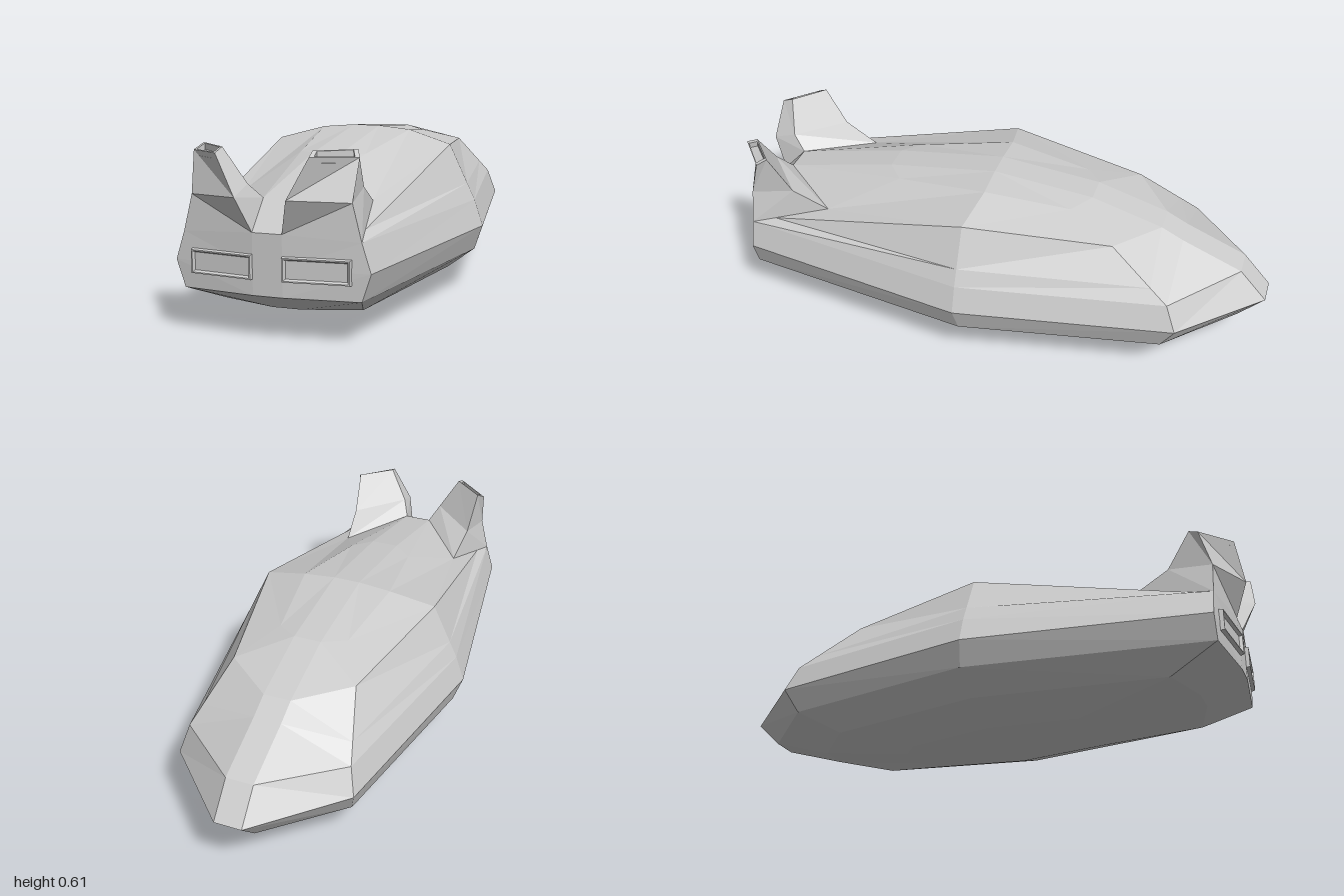
import * as THREE from 'three';

const material = new THREE.MeshStandardMaterial({ color: 0xcccccc, flatShading: true });

// Skins a stack of closed loops (counter-clockwise seen from the stacking direction).
// Diagonals flip on the -x side so both halves match.
function loft(name, rings) {
  const pos = [];
  const tri = (...pts) => pts.forEach((p) => pos.push(...p));
  for (let r = 0; r < rings.length - 1; r++) {
    const lo = rings[r], hi = rings[r + 1], n = lo.length;
    for (let i = 0; i < n; i++) {
      const j = (i + 1) % n;
      if (lo[i][0] + lo[j][0] >= 0) {
        tri(lo[i], lo[j], hi[j]);
        tri(lo[i], hi[j], hi[i]);
      } else {
        tri(lo[i], lo[j], hi[i]);
        tri(lo[j], hi[j], hi[i]);
      }
    }
  }
  const geometry = new THREE.BufferGeometry();
  geometry.setAttribute('position', new THREE.Float32BufferAttribute(pos, 3));
  geometry.computeVertexNormals();
  const mesh = new THREE.Mesh(geometry, material);
  mesh.name = name;
  return mesh;
}

const flip = (ring) => ring.map(([x, y, z]) => [-x, y, z]).reverse();
const lerp = (a, b, t) => a.map((v, i) => v + (b[i] - v) * t);
const centre = (ring) => [0, 1, 2].map((k) => ring.reduce((s, p) => s + p[k], 0) / ring.length);
const mirrorRings = (rings, side) => (side > 0 ? rings : rings.map(flip));

// Hull: faceted rings, each half running front centre, front corner, side, rear corner, rear centre
function createHull() {
  const level = (y, pts) => pts.map(([x, z]) => [x, y, z]);
  const rim = [[0.05, 0.345, 0.95], [0.30, 0.33, 0.92], [0.43, 0.33, 0.06], [0.30, 0.33, -0.68], [0.05, 0.345, -0.90]];
  const shoulder = [[0.05, 0.44, 0.86], [0.235, 0.41, 0.63], [0.335, 0.53, 0.06], [0.23, 0.49, -0.46], [0.05, 0.475, -0.60]];
  const step = rim.map((p, i) => lerp(p, shoulder[i], 0.3));
  step[4] = [0.05, 0.435, -0.68];
  const halves = [
    Array(5).fill([0.05, 0, 0.05]),
    level(0.015, [[0.05, 0.44], [0.14, 0.38], [0.18, 0.05], [0.12, -0.27], [0.05, -0.33]]),
    level(0.07, [[0.05, 0.80], [0.24, 0.74], [0.33, 0.05], [0.22, -0.53], [0.05, -0.68]]),
    level(0.145, [[0.05, 0.95], [0.30, 0.92], [0.43, 0.05], [0.30, -0.67], [0.05, -0.91]]),
    level(0.235, [[0.05, 0.95], [0.33, 0.92], [0.462, 0.06], [0.325, -0.72], [0.05, -1.0]]),
    rim,
    step,
    shoulder,
    [[0.05, 0.53, 0.44], [0.12, 0.525, 0.38], [0.17, 0.575, 0.03], [0.13, 0.54, -0.28], [0.05, 0.55, -0.34]],
    Array(5).fill([0.05, 0.586, 0.03]),
  ];
  return loft('hull', halves.map((h) => [...h, ...flip(h)]));
}

// Fin: three tapering sections, ending in a recessed tip
function createFin(side) {
  const top = [[0.155, 0.592, 0.982], [0.28, 0.585, 0.88], [0.262, 0.605, 0.845], [0.15, 0.607, 0.94]];
  const mid = centre(top);
  const lip = top.map((p) => lerp(p, mid, 0.2));
  const floor = lip.map(([x, y, z]) => [x, y - 0.02, z]);
  const rings = [
    [[0.05, 0.345, 0.95], [0.30, 0.33, 0.92], [0.235, 0.41, 0.63], [0.05, 0.44, 0.86]],
    [[0.085, 0.46, 1.0], [0.27, 0.45, 0.92], [0.25, 0.475, 0.76], [0.08, 0.49, 0.91]],
    top, lip, floor, Array(4).fill(centre(floor)),
  ];
  return loft(side > 0 ? 'leftFin' : 'rightFin', mirrorRings(rings, side));
}

// Front panel: a raised bevelled frame around a shallow recess
function createFrontPanel(side) {
  const frame = (inset, raise) =>
    [[0.05 + inset, 0.195 + inset], [0.27 - inset, 0.195 + inset], [0.27 - inset, 0.277 - inset], [0.05 + inset, 0.277 - inset]]
      .map(([x, y]) => [x, y, 0.95 - 0.107 * (x - 0.05) + raise]);
  const floor = frame(0.012, 0.003);
  const rings = [frame(0, -0.004), frame(0.003, 0.014), frame(0.007, 0.014), floor, Array(4).fill(centre(floor))];
  return loft(side > 0 ? 'leftFrontPanel' : 'rightFrontPanel', mirrorRings(rings, side));
}

export function createModel() {
  const model = new THREE.Group();
  model.name = 'hoverCraft';
  model.add(createHull());
  for (const side of [1, -1]) model.add(createFin(side), createFrontPanel(side));
  return model;
}
